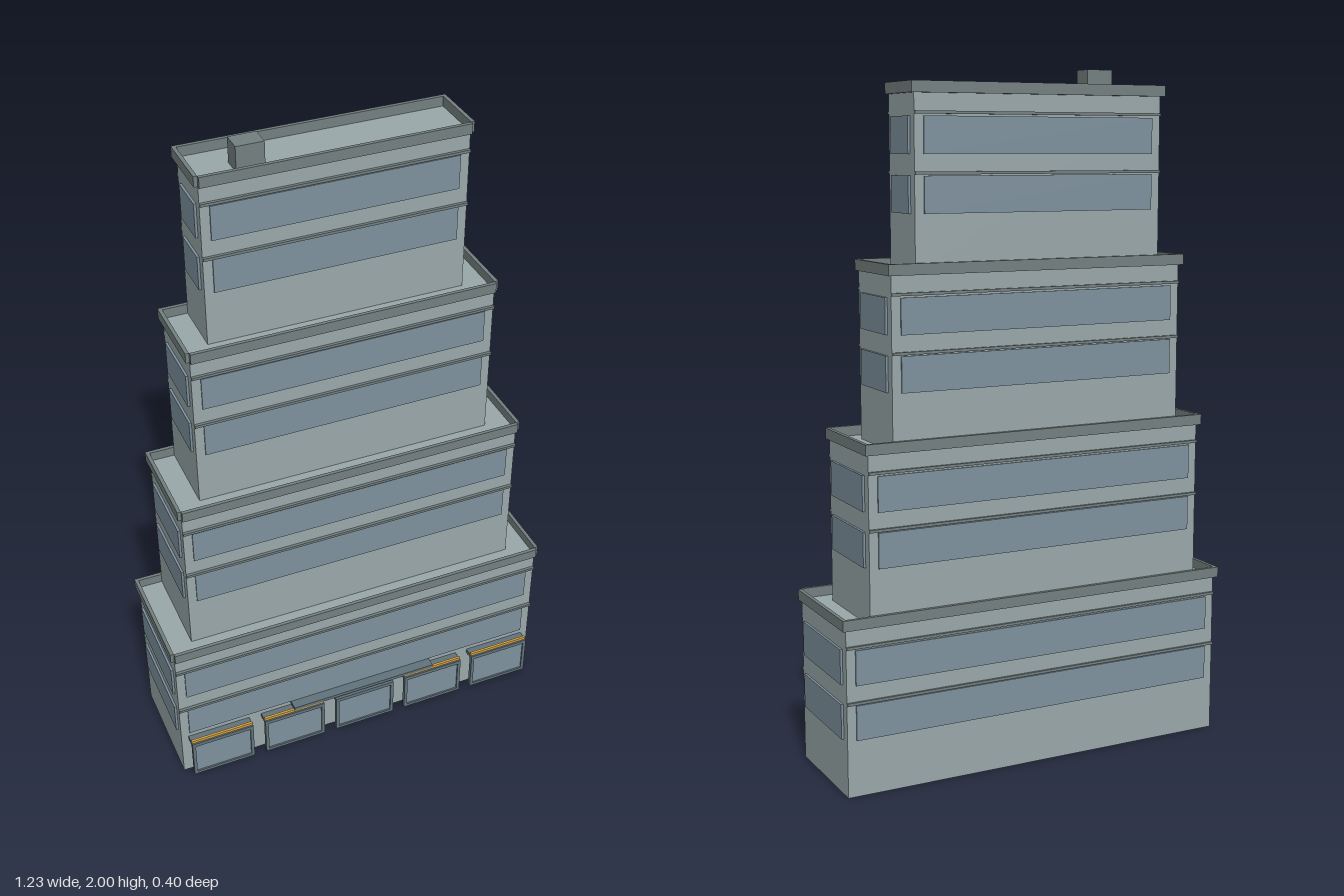
import * as THREE from 'three';

const mat = (color) => new THREE.MeshStandardMaterial({ color });

export function createModel() {
  const building = new THREE.Group();
  building.name = 'steppedBuilding';
  const wall = mat(0x9aa8aa), trim = mat(0x748080), glass = mat(0x7f929f);
  const frameMat = mat(0x62737c), light = mat(0xd9a441);

  // Box given by its extents along each axis
  const box = (parent, name, material, [x0, x1], [y0, y1], [z0, z1]) => {
    const m = new THREE.Mesh(new THREE.BoxGeometry(x1 - x0, y1 - y0, z1 - z0), material);
    m.position.set((x0 + x1) / 2, (y0 + y1) / 2, (z0 + z1) / 2);
    m.name = name;
    parent.add(m);
    return m;
  };

  const STEP = 0.4807, BACK = -0.188;
  const tiers = [[0.603, 0.158], [0.53, 0.1], [0.456, 0.041], [0.384, -0.019]];

  tiers.forEach(([w, front], i) => {
    const tier = new THREE.Group();
    tier.name = `tier${i + 1}`;
    tier.position.y = i * STEP;
    building.add(tier);
    box(tier, 'walls', wall, [-w, w], [0, 0.485], [BACK, front]);

    // Window strips on all four sides
    for (const y of [[0.164, 0.265], [0.322, 0.423]]) {
      const x = [-w + 0.027, w - 0.027], z = [BACK + 0.027, front - 0.025];
      box(tier, 'frontWindow', glass, x, y, [front - 0.01, front + 0.004]);
      box(tier, 'backWindow', glass, x, y, [BACK - 0.004, BACK + 0.01]);
      for (const s of [-1, 1]) {
        const m = box(tier, 'sideWindow', glass, [-0.007, 0.007], y, z);
        m.position.x = s * w;
      }
    }

    // Floor bands along the front and back
    for (const y of [[0.268, 0.276], [0.428, 0.436]]) {
      box(tier, 'frontBand', trim, [-w, w], y, [front - 0.005, front + 0.009]);
      box(tier, 'backBand', trim, [-w, w], y, [BACK - 0.007, BACK + 0.005]);
    }

    // Parapet around the roof edge, notched at the corners
    const py = [0.483, 0.514];
    box(tier, 'frontParapet', trim, [-w, w], py, [front, front + 0.011]);
    box(tier, 'backParapet', trim, [-w, w], py, [BACK - 0.011, BACK]);
    box(tier, 'rightParapet', trim, [-w - 0.011, -w], py, [BACK - 0.011, front]);
    box(tier, 'leftParapet', trim, [w, w + 0.011], py, [BACK - 0.011, front]);
  });

  box(building, 'roofHousing', trim, [-0.27, -0.19], [1.92, 2], [-0.11, -0.049]);

  // Row of shopfronts standing just ahead of the ground floor
  for (let i = -2; i <= 2; i++) {
    const shop = new THREE.Group();
    shop.name = 'shopfront';
    shop.position.x = i * 0.24;
    building.add(shop);
    box(shop, 'shopGlass', glass, [-0.09, 0.09], [0.02, 0.135], [0.187, 0.192]);
    for (const s of [-1, 1]) {
      const post = box(shop, 'framePost', frameMat, [-0.005, 0.005], [0.012, 0.142], [0.184, 0.197]);
      post.position.x = s * 0.095;
    }
    box(shop, 'frameSill', frameMat, [-0.1, 0.1], [0.012, 0.022], [0.184, 0.197]);
    box(shop, 'frameHead', frameMat, [-0.1, 0.1], [0.134, 0.147], [0.158, 0.197]);
    if (i !== 0) box(shop, 'signLight', light, [-0.1, 0.1], [0.147, 0.156], [0.184, 0.192]);
  }

  // Entrance canopy
  box(building, 'entranceCanopy', frameMat, [-0.24, 0.24], [0.153, 0.164], [0.158, 0.193]);

  return building;
}
